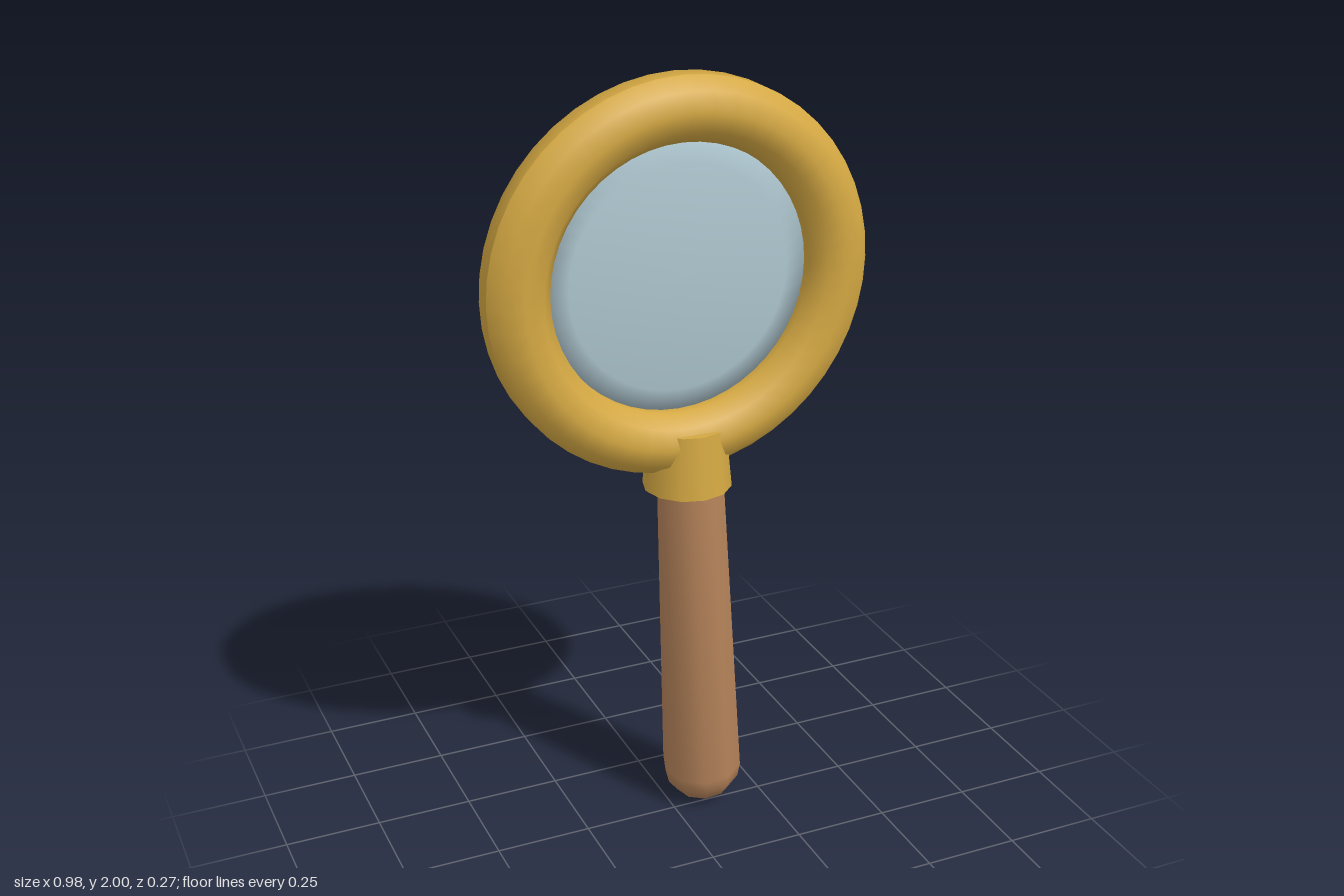
import * as THREE from 'three';

export function createModel() {
  const group = new THREE.Group();
  const mat = (name, color, side = THREE.FrontSide) => {
    const m = new THREE.MeshStandardMaterial({ color, side });
    m.name = name;
    return m;
  };
  const brass = mat('brass', 0xd4a843);
  const wood = mat('wood', 0xb5835a);
  const glass = mat('glass', 0xaec6cf);

  const add = (name, geometry, material, x, y, z) => {
    const mesh = new THREE.Mesh(geometry, material);
    mesh.name = name;
    mesh.position.set(x, y, z);
    group.add(mesh);
    return mesh;
  };

  const ringY = 1.51, ringZ = 0.025;

  // Ring: ten-sided tube with a flat facet on its inner and outer rims
  const tube = [];
  for (let i = 0; i <= 10; i++) {
    const a = (i + 0.5) * Math.PI / 5;
    tube.push(new THREE.Vector2(0.412 + 0.082 * Math.cos(a), 0.082 * Math.sin(a)));
  }
  const ring = add('ring', new THREE.LatheGeometry(tube, 48), brass, 0, ringY, ringZ);
  ring.rotation.x = Math.PI / 2;

  // Lens: shallow biconvex disc
  const lensProfile = [];
  for (let i = 0; i <= 12; i++) {
    const t = i / 6 - 1;
    const r = 0.338 * (1 - Math.abs(t));
    lensProfile.push(new THREE.Vector2(r, Math.sign(t) * 0.024 * (1 - (r / 0.338) ** 2)));
  }
  const lens = add('lens', new THREE.LatheGeometry(lensProfile, 48), glass, 0, ringY, ringZ);
  lens.rotation.x = Math.PI / 2;

  // Collar joining ring and handle
  add('collar', new THREE.CylinderGeometry(0.096, 0.112, 0.16, 12), brass, 0.023, 1.05, 0.025);

  // Handle: tapered, leaning, with a rounded butt end
  const foot = new THREE.Vector3(0.096, 0.107, -0.036);
  const head = new THREE.Vector3(0.025, 1.08, 0.031);
  const axis = head.clone().sub(foot);
  const profile = [];
  for (let i = 0; i <= 4; i++) {
    const a = (i / 4 - 1) * Math.PI / 2;
    profile.push(new THREE.Vector2(0.106 * Math.cos(a), 0.106 * Math.sin(a)));
  }
  profile[0].x = 0;
  profile.push(new THREE.Vector2(0.083, axis.length()), new THREE.Vector2(0, axis.length()));
  const handle = add('handle', new THREE.LatheGeometry(profile, 10, Math.PI / 2), wood, foot.x, foot.y, foot.z);
  handle.quaternion.setFromUnitVectors(new THREE.Vector3(0, 1, 0), axis.clone().normalize());

  return group;
}
